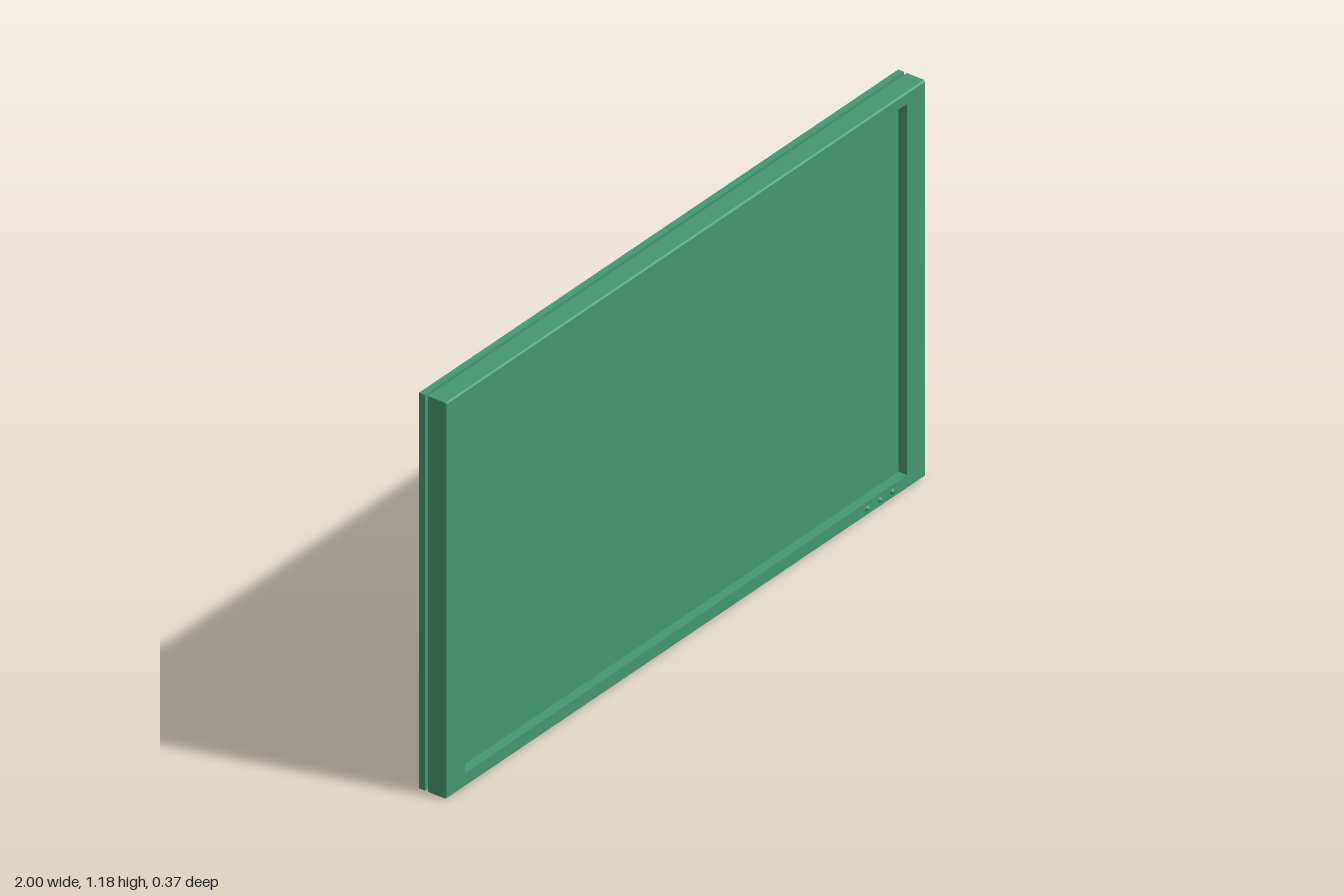
import * as THREE from 'three';

export function createModel() {
  const group = new THREE.Group();
  const material = new THREE.MeshStandardMaterial({ color: 0x449873 });
  const H = 1.18;

  function add(name, geometry) {
    const mesh = new THREE.Mesh(geometry, material);
    mesh.name = name;
    group.add(mesh);
    return mesh;
  }

  // Box given by its limits on each axis
  function block(name, x0, x1, y0, y1, z0, z1) {
    const mesh = add(name, new THREE.BoxGeometry(x1 - x0, y1 - y0, z1 - z0));
    mesh.position.set((x0 + x1) / 2, (y0 + y1) / 2, (z0 + z1) / 2);
    return mesh;
  }

  function rectangle(path, x0, x1, y0, y1) {
    path.moveTo(x0, y0);
    path.lineTo(x1, y0);
    path.lineTo(x1, y1);
    path.lineTo(x0, y1);
    path.closePath();
    return path;
  }

  // Picture frame with the screen opening
  function frame(depth) {
    const shape = rectangle(new THREE.Shape(), -1, 1, 0, H);
    shape.holes.push(rectangle(new THREE.Path(), -0.923, 0.923, 0.04, 1.147));
    return new THREE.ExtrudeGeometry(shape, { depth, bevelEnabled: false });
  }

  // Bezel: straight rim plus a lip whose outer edge is chamfered
  add('bezel', frame(0.023)).position.z = 0.15;
  const lip = frame(0.005);
  const p = lip.attributes.position;
  for (let i = 0; i < p.count; i++) {
    if (p.getZ(i) < 0.004) continue;
    p.setX(i, THREE.MathUtils.clamp(p.getX(i), -0.997, 0.997));
    p.setY(i, THREE.MathUtils.clamp(p.getY(i), 0.003, H - 0.003));
  }
  lip.computeVertexNormals();
  add('bezelLip', lip).position.z = 0.173;

  // Screen body, recessed seam and back cover
  block('screenBody', -1, 1, 0, H, 0.118, 0.15);
  block('seam', -0.968, 0.968, 0.018, 1.163, 0.109, 0.118);
  block('backCover', -1, 1, 0, H, 0.09, 0.109);

  // Control buttons
  [0.757, 0.81, 0.861].forEach((x) => {
    add('button', new THREE.SphereGeometry(0.008, 16, 10)).position.set(x, 0.021, 0.176);
  });

  // Wall mount, stepping back from the cover
  block('mountPlate', -0.414, 0.444, 0.39, 0.928, 0.082, 0.09);
  block('mountBase', -0.107, 0.134, 0.584, 0.735, 0.028, 0.082);
  block('mountStep', -0.088, 0.112, 0.597, 0.722, -0.005, 0.028);
  block('mountHead', -0.064, 0.086, 0.612, 0.706, -0.074, -0.005);
  block('mountPost', -0.045, 0.069, 0.479, 0.612, -0.069, -0.013);

  // Arm widening towards the wall
  const arm = block('wallArm', -0.04, 0.064, 0.49, 0.565, -0.17, -0.069);
  const a = arm.geometry.attributes.position;
  for (let i = 0; i < a.count; i++) {
    if (a.getZ(i) < 0) a.setX(i, a.getX(i) * 1.2);
  }
  arm.geometry.computeVertexNormals();
  block('wallArmEnd', -0.04, 0.066, 0.496, 0.559, -0.176, -0.17);
  block('wallPlate', -0.136, 0.163, 0.434, 0.622, -0.184, -0.175);

  return group;
}
